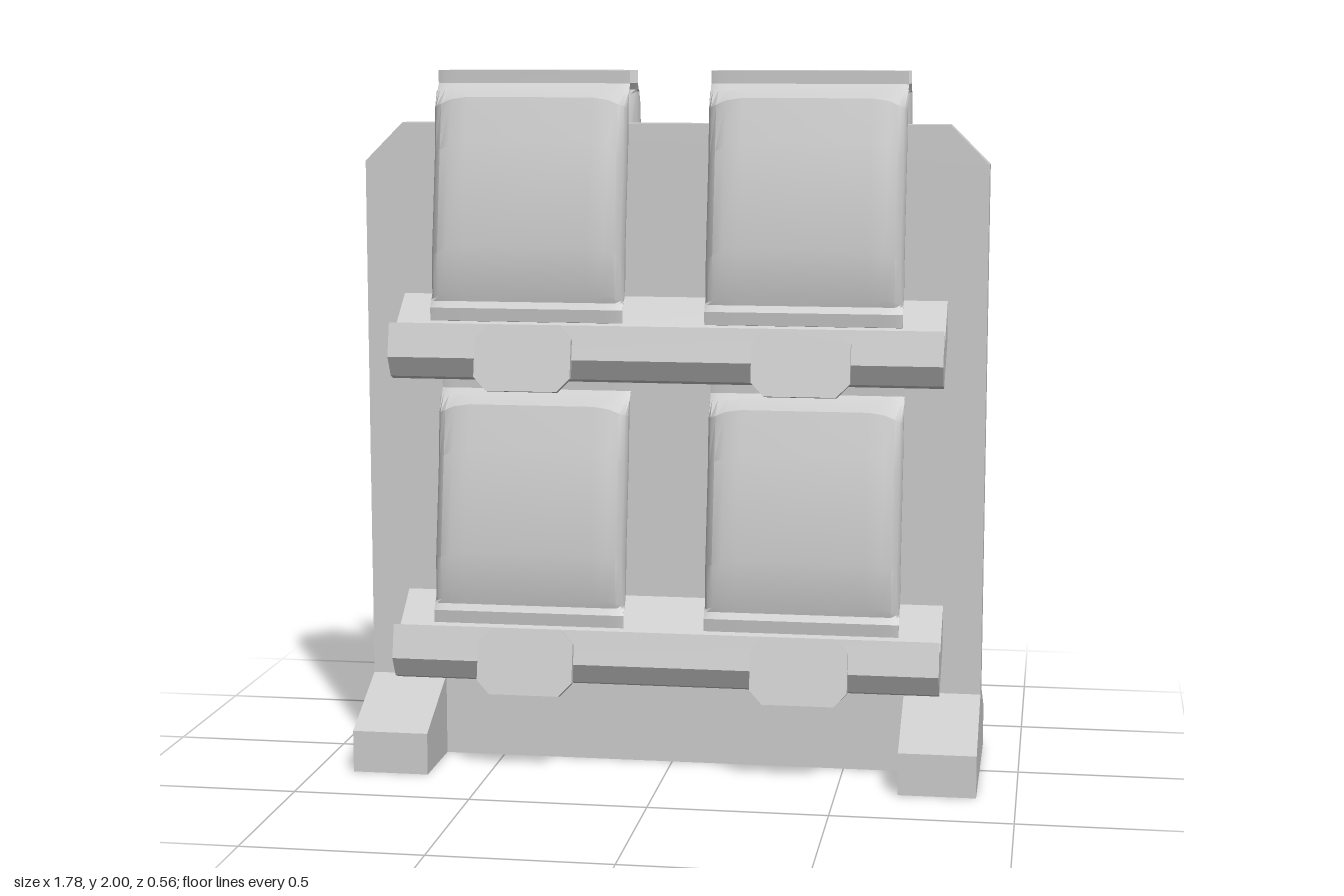
import * as THREE from 'three';
import { toCreasedNormals } from 'three/addons/utils/BufferGeometryUtils.js';

const grey = new THREE.MeshStandardMaterial({ color: 0xcccccc });
grey.name = 'plain grey';

const shapeOf = (pts) => new THREE.Shape(pts.map(([x, y]) => new THREE.Vector2(x, y)));

function extrude(pts, depth) {
  const g = new THREE.ExtrudeGeometry(shapeOf(pts), { depth, bevelEnabled: false });
  return g.translate(0, 0, -depth / 2);
}

// Profile given as [z, y], swept along x
const sweepX = (pts, width) => extrude(pts, width).rotateY(-Math.PI / 2);

function add(parent, name, geometry, x = 0, y = 0, z = 0, tilt = 0) {
  const mesh = new THREE.Mesh(geometry, grey);
  mesh.name = name;
  mesh.position.set(x, y, z);
  mesh.rotation.x = tilt;
  parent.add(mesh);
  return mesh;
}

// Pillow bag: cross-sections stacked along y, flat seals at both ends
function bagGeometry() {
  // [height, front depth, back depth]
  const rows = [
    [0, 0.004, -0.004], [0.035, 0.016, 0.004], [0.055, 0.008, -0.008],
    [0.085, 0.02, -0.056], [0.205, 0.057, -0.06], [0.495, 0.06, -0.057],
    [0.625, 0.056, -0.02], [0.655, 0.008, -0.008], [0.675, -0.004, -0.016],
    [0.71, 0.004, -0.004],
  ];
  // Front half of one section: [x, share of depth, side share]
  const half = [
    [0.275, 0.15, 1], [0.268, 0.5, 1], [0.252, 0.8, 0.8], [0.225, 0.96, 0.3], [0.18, 1, 0],
    [-0.18, 1, 0], [-0.225, 0.96, 0.3], [-0.252, 0.8, 0.8], [-0.268, 0.5, 1], [-0.275, 0.15, 1],
  ];
  const ring = [
    ...half.map(([x, d, s]) => [x, d, s, 1]),
    ...half.map(([x, d, s]) => [-x, d, s, -1]),
  ];
  const n = ring.length, pos = [], idx = [];
  rows.forEach(([u, front, back], i) => {
    const mid = (front + back) / 2, h = (front - back) / 2;
    const body = i >= 3 && i <= 6;
    for (const [x, d, s, side] of ring) {
      pos.push(x, u - (body ? side * s * 0.022 : 0), mid + side * d * h);
    }
  });
  for (let i = 0; i < rows.length - 1; i++) {
    for (let j = 0; j < n; j++) {
      const a = i * n + j, b = i * n + (j + 1) % n;
      idx.push(a, a + n, b, b, a + n, b + n);
    }
  }
  const top = (rows.length - 1) * n;
  for (let j = 1; j < n - 1; j++) idx.push(0, j, j + 1, top, top + j + 1, top + j);
  const g = new THREE.BufferGeometry();
  g.setAttribute('position', new THREE.Float32BufferAttribute(pos, 3));
  g.setIndex(idx);
  return toCreasedNormals(g, 0.5);
}

export function createModel() {
  const model = new THREE.Group();
  model.name = 'displayStand';

  // Upright board with clipped top corners
  add(model, 'backBoard', extrude([
    [-0.89, 0], [0.89, 0], [0.89, 1.74], [0.78, 1.85], [-0.78, 1.85], [-0.89, 1.74],
  ], 0.08));

  // Feet
  const foot = sweepX([
    [-0.28, 0], [0.28, 0], [0.28, 0.12], [0.04, 0.235], [-0.04, 0.235], [-0.28, 0.12],
  ], 0.218);
  add(model, 'leftFoot', foot, 0.781);
  add(model, 'rightFoot', foot, -0.781);

  const shelf = sweepX([
    [0.03, 0.378], [0.185, 0.262], [0.212, 0.272], [0.246, 0.33],
    [0.223, 0.425], [0.19, 0.375], [0.03, 0.498],
  ], 1.56);
  const tag = extrude([
    [-0.137, -0.055], [-0.1, -0.0935], [0.1, -0.0935], [0.137, -0.055],
    [0.137, 0.055], [0.1, 0.0935], [-0.1, 0.0935], [-0.137, 0.055],
  ], 0.022);
  const bag = bagGeometry();

  // The same two stocked shelves on both faces of the board
  ['front', 'back'].forEach((face, k) => {
    const side = new THREE.Group();
    side.name = face + 'Side';
    side.rotation.y = k * Math.PI;
    for (const y of [0, 0.87]) {
      add(side, 'shelf', shelf, 0, y);
      for (const x of [-0.39, 0.39]) {
        add(side, 'bag', bag, x, y + 0.43, 0.2, -0.186);
        add(side, 'priceTag', tag, x, y + 0.333, 0.25, -0.215);
      }
    }
    model.add(side);
  });
  return model;
}
